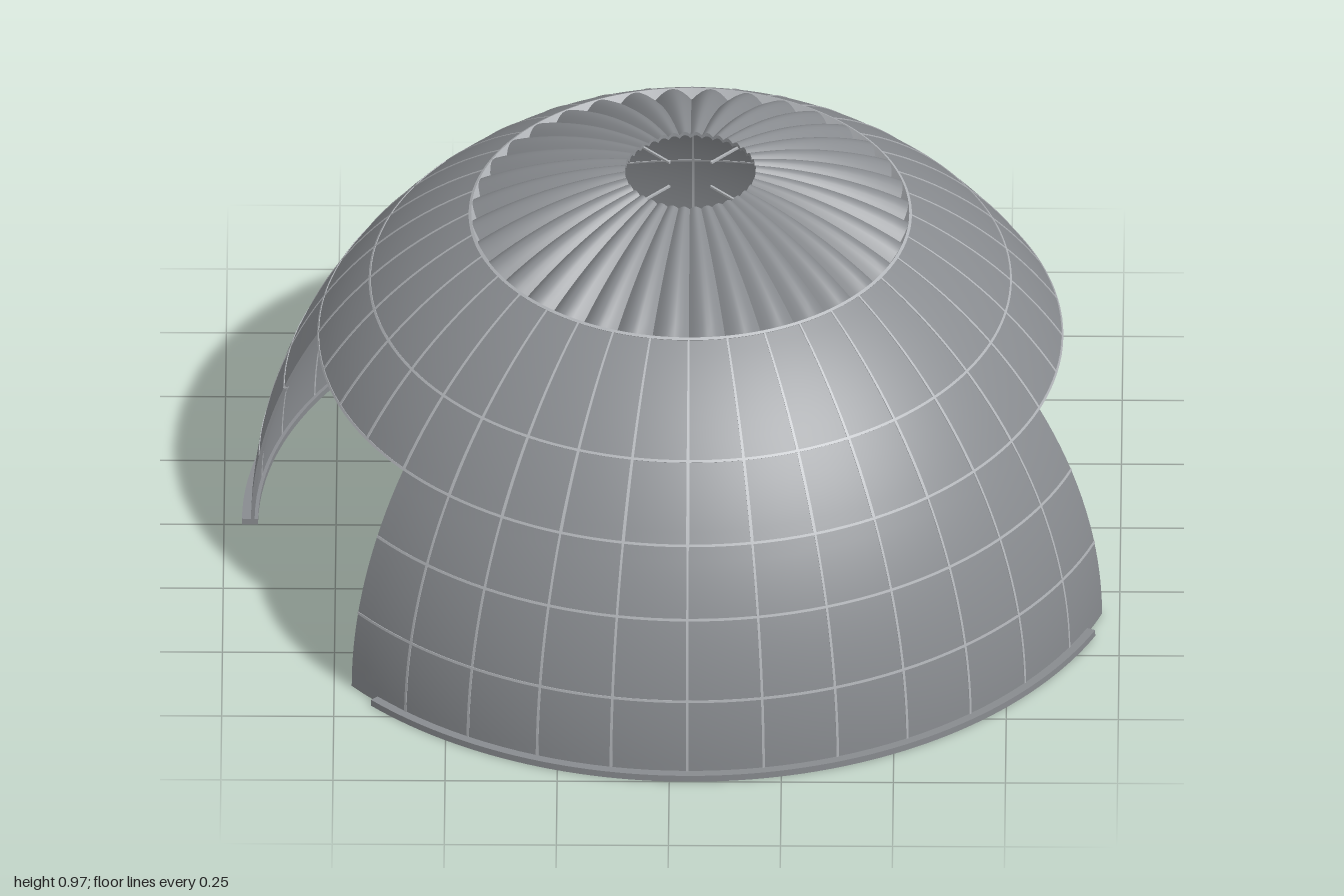
import * as THREE from 'three';
import { mergeGeometries } from 'three/addons/utils/BufferGeometryUtils.js';

const RAD = Math.PI / 180;
const R = 0.98, INNER = 0.972;       // shell radii
const LOW = 32, HIGH = 60, TOP = 81.4; // latitudes of wall top, cap edge and hole

// Solid curved slab: azimuth a0..a1 (from +x towards +z), latitude l0..l1, radius r0..r1.
function slab(a0, a1, l0, l1, r0, r1, segA, segL, bump = () => 0) {
  const g = new THREE.BoxGeometry(1, 1, 1, segA, segL, 1);
  const p = g.attributes.position;
  for (let i = 0; i < p.count; i++) {
    const az = a1 + (a0 - a1) * (p.getX(i) + 0.5);
    const lat = l0 + (l1 - l0) * (p.getY(i) + 0.5);
    const r = r0 + (r1 - r0) * (p.getZ(i) + 0.5) + bump(az, lat);
    const c = r * Math.cos(lat * RAD);
    p.setXYZ(i, c * Math.cos(az * RAD), r * Math.sin(lat * RAD), c * Math.sin(az * RAD));
  }
  g.computeVertexNormals();
  return g;
}

export function createModel() {
  const model = new THREE.Group();
  model.name = 'dome';
  const panel = new THREE.MeshStandardMaterial({ color: 0x888b8f });
  panel.name = 'panel grey';
  const seam = new THREE.MeshStandardMaterial({ color: 0xb0b3b7 });
  seam.name = 'light seam grey';

  const add = (name, geometry, material = panel) => {
    const m = new THREE.Mesh(geometry, material);
    m.name = name;
    m.position.x = 0.04;
    model.add(m);
  };

  // Two lower walls with a doorway between them on each side
  const walls = [
    { name: 'frontWall', from: 20, to: 140, rimFrom: 25, rimTo: 135 },
    { name: 'backWall', from: 180, to: 300, rimFrom: 180, rimTo: 295 },
  ];
  const seams = [];
  const W = 0.17; // half width of a seam in degrees
  const s0 = INNER - 0.001, s1 = R + 0.0015;
  for (const w of walls) {
    add(w.name, slab(w.from, w.to, 0, LOW, INNER, R, 48, 16));
    add(w.name + 'Rim', slab(w.rimFrom, w.rimTo, 0, 0.9, 0.964, 1, 64, 1));
    for (const lat of [11.2, 22.4])
      seams.push(slab(w.from, w.to, lat - W, lat + W, s0, s1, 48, 1));
    for (let az = w.from + 10; az < w.to; az += 10)
      seams.push(slab(az - W, az + W, 0.9, LOW, s0, s1, 1, 16));
  }

  // Full ring of upper panels
  add('upperShell', slab(0, 360, LOW, HIGH, INNER, R, 144, 14));
  for (const lat of [LOW + W, 43.2])
    seams.push(slab(0, 360, lat - W, lat + W, s0, s1, 144, 1));
  for (let az = 0; az < 360; az += 10) {
    const h = W / Math.cos(46 * RAD);
    seams.push(slab(az - h, az + h, LOW, HIGH, s0, s1, 1, 14));
  }
  add('panelSeams', mergeGeometries(seams), seam);

  // Fluted cap around the open crown: rounded flutes with sharp valleys, and its edge ring
  const flute = (az, lat) =>
    0.05 * Math.cos(lat * RAD) * (Math.abs(Math.sin(18 * az * RAD)) - 1);
  const flutes = [];
  for (let az = 0; az < 360; az += 10)
    flutes.push(slab(az, az + 10, HIGH, TOP, INNER, R, 8, 10, flute));
  add('flutedCap', mergeGeometries(flutes));
  add('capRing', slab(0, 360, HIGH - 0.25, HIGH + 0.15, 0.947, s1, 144, 1), seam);

  // Inner stiffening ring and ribs
  add('innerRing', slab(0, 360, 42.8, 43.6, 0.964, INNER, 96, 1));
  for (const az of [45, 90, 225])
    add('innerRib', slab(az - 0.6, az + 0.6, 0.9, HIGH, 0.96, INNER, 1, 24));

  // Four thin spokes reaching into the crown opening
  for (let i = 0; i < 4; i++) {
    const g = new THREE.BoxGeometry(0.09, 0.005, 0.005);
    g.translate(0.11, 0.955, 0);
    g.rotateY((45 + 90 * i) * RAD);
    add('crownSpoke', g, seam);
  }
  return model;
}
